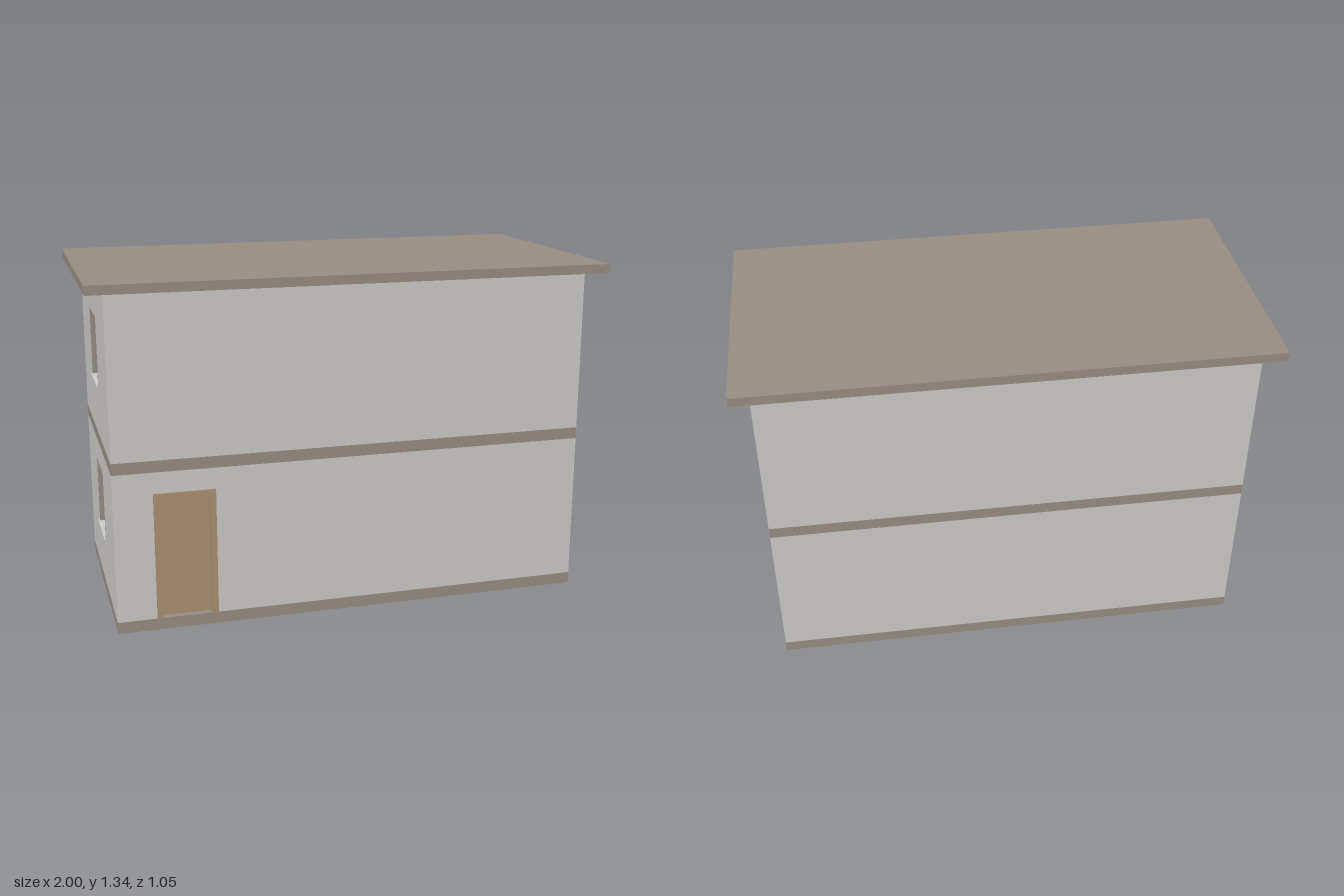
import * as THREE from 'three';

const mat = (name, color) => {
  const m = new THREE.MeshStandardMaterial({ color });
  m.name = name;
  return m;
};

const W = 0.93, D = 0.455, T = 0.07; // half width, half depth, wall thickness

export function createModel() {
  const wall = mat('plaster', 0xcac8c3);
  const trim = mat('taupe trim', 0x968c80);
  const glass = mat('glass', 0xa3bbc5);
  const wood = mat('wood', 0xaa8f70);
  const sillMat = mat('sill', 0xc9c9c6);

  const model = new THREE.Group();
  model.name = 'house';

  // Box given by its extents on each axis
  const box = (parent, name, m, [x0, x1], [y0, y1], [z0, z1]) => {
    const mesh = new THREE.Mesh(new THREE.BoxGeometry(x1 - x0, y1 - y0, z1 - z0), m);
    mesh.position.set((x0 + x1) / 2, (y0 + y1) / 2, (z0 + z1) / 2);
    mesh.name = name;
    parent.add(mesh);
    return mesh;
  };

  const outline = (Type, pts) => new Type(pts.map(([x, y]) => new THREE.Vector2(x, y)));
  const rect = (x0, x1, y0, y1) => [[x0, y0], [x1, y0], [x1, y1], [x0, y1]];

  // Flat panel with its outer face at local z = face
  const panel = (parent, name, m, shape, face, depth) => {
    const geo = new THREE.ExtrudeGeometry(shape, { depth, bevelEnabled: false });
    const mesh = new THREE.Mesh(geo.translate(0, 0, face - depth), m);
    mesh.name = name;
    parent.add(mesh);
  };

  // Three-sided frame, open at the bottom
  const archShape = (x0, x1, y0, y1, t) => outline(THREE.Shape, [
    [x0, y0], [x0 + t, y0], [x0 + t, y1 - t], [x1 - t, y1 - t],
    [x1 - t, y0], [x1, y0], [x1, y1], [x0, y1],
  ]);

  // Floor bands and flat overhanging roof
  box(model, 'plinth', trim, [-W, W], [0, 0.045], [-D, D]);
  box(model, 'floorBand', trim, [-W, W], [0.625, 0.67], [-D, D]);
  box(model, 'roof', trim, [-1, 1], [1.3, 1.335], [-0.523, 0.523]);

  // Door: opening, frame and recessed leaf
  const dx0 = -0.78, dx1 = -0.545, doorTop = 0.543;
  const door = new THREE.Group();
  door.name = 'door';
  model.add(door);
  panel(door, 'doorFrame', wood, archShape(dx0, dx1, 0.045, doorTop, 0.022), D + 0.008, 0.06);
  box(door, 'doorLeaf', wood, [dx0 + 0.022, dx1 - 0.022], [0.045, doorTop - 0.022], [D - 0.045, D - 0.025]);

  const storeys = [
    { y0: 0.045, y1: 0.625, sill: 0.255 },
    { y0: 0.67, y1: 1.3, sill: 0.88 },
  ];

  storeys.forEach(({ y0, y1, sill }, i) => {
    // Long walls; the ground floor front is notched for the door
    const front = i === 0
      ? [[-W, y0], [dx0, y0], [dx0, doorTop], [dx1, doorTop], [dx1, y0], [W, y0], [W, y1], [-W, y1]]
      : rect(-W, W, y0, y1);
    panel(model, 'frontWall', wall, outline(THREE.Shape, front), D, T);
    box(model, 'backWall', wall, [-W, W], [y0, y1], [-D, -D + T]);

    // End walls: wide windows on the left, narrow ones on the right
    for (const [side, half] of [[1, 0.184], [-1, 0.115]]) {
      const end = new THREE.Group();
      end.name = side > 0 ? 'leftEnd' : 'rightEnd';
      end.rotation.y = side * Math.PI / 2;
      model.add(end);

      const top = sill + 0.272, t = 0.01;
      const shape = outline(THREE.Shape, rect(-D + T, D - T, y0, y1));
      shape.holes.push(outline(THREE.Path, rect(-half, half, sill, top)));
      panel(end, 'endWall', wall, shape, W, T);
      panel(end, 'windowFrame', trim, archShape(-half, half, sill, top, t), W, 0.06);
      box(end, 'windowGlass', glass, [-half + t, half - t], [sill, top - t], [W - 0.045, W - 0.035]);
      box(end, 'windowSill', sillMat, [-half - 0.006, half + 0.006], [sill - 0.003, sill + 0.004], [W - 0.036, W + 0.007]);
    }
  });

  return model;
}
